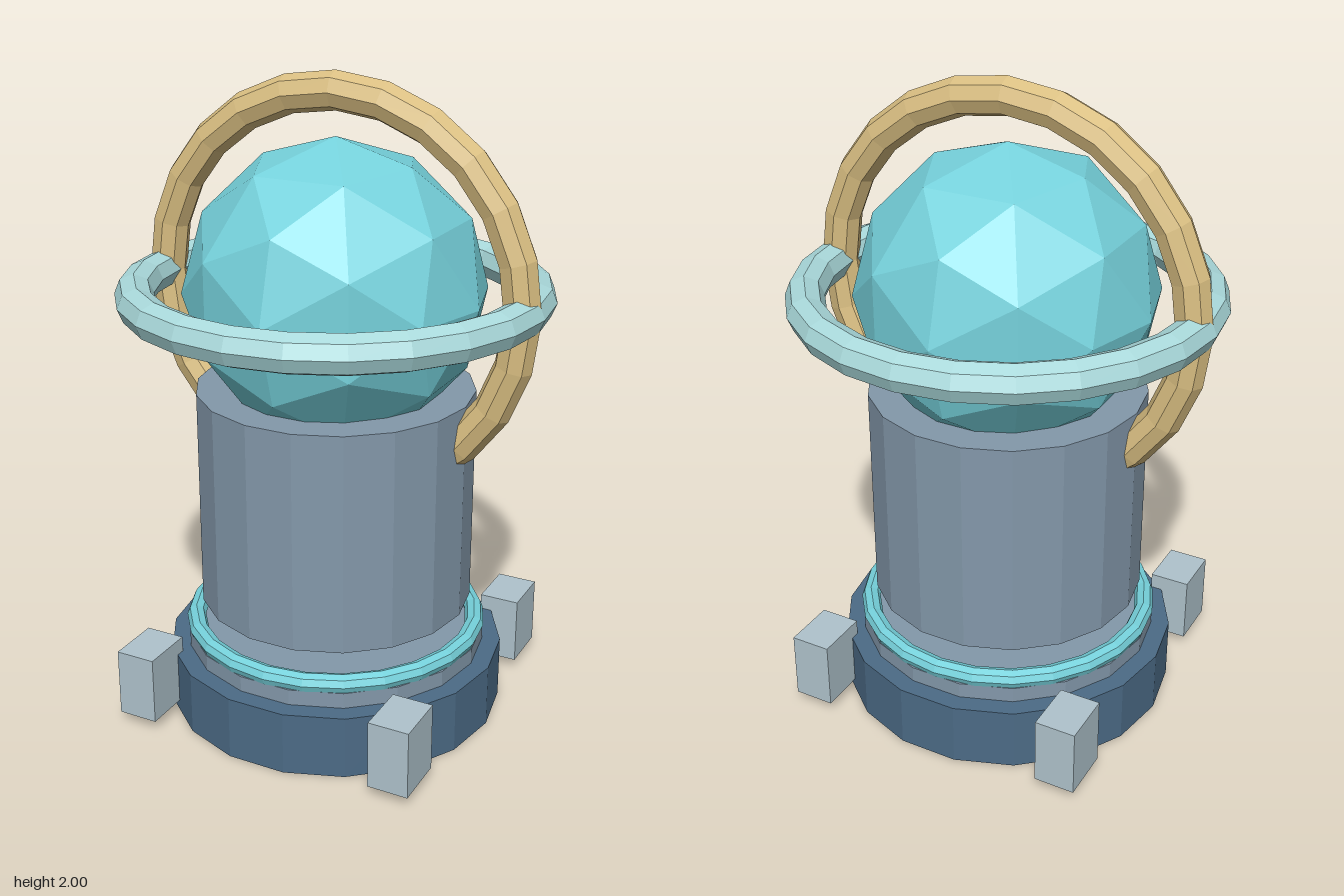
import * as THREE from 'three';

const flat = (name, color) => {
  const m = new THREE.MeshStandardMaterial({ color });
  m.name = name;
  m.flatShading = true;
  return m;
};

export function createModel() {
  const model = new THREE.Group();
  model.name = 'ringedOrbPedestal';

  const navy = flat('slate blue', 0x4c6b86);
  const grey = flat('blue grey', 0x8398aa);
  const cyan = flat('cyan', 0x76d2dc);
  const pale = flat('pale teal', 0xaadadc);
  const gold = flat('gold', 0xdabf82);
  const silver = flat('silver', 0xafc3cc);

  const add = (name, geometry, material, x, y, z) => {
    const mesh = new THREE.Mesh(geometry, material);
    mesh.name = name;
    mesh.position.set(x, y, z);
    model.add(mesh);
    return mesh;
  };

  // Upright 18-sided drum with a corner on the x axis
  const drum = (name, radius, y0, y1, material) => {
    const g = new THREE.CylinderGeometry(radius, radius, y1 - y0, 18);
    g.rotateY(Math.PI / 2);
    return add(name, g, material, 0, (y0 + y1) / 2, 0);
  };

  // Ring with an eight-sided section, upright or lying flat
  const ring = (name, radius, tube, y, material, lying) => {
    const g = new THREE.TorusGeometry(radius, tube, 8, 24);
    if (lying) g.rotateX(Math.PI / 2);
    return add(name, g, material, 0, y, 0);
  };

  // Stepped base with a glowing collar
  drum('base', 0.533, 0, 0.2, navy);
  drum('baseStep', 0.475, 0.2, 0.25, grey);
  ring('collar', 0.45, 0.03, 0.27, cyan, true);

  // Column floating above the collar
  drum('column', 0.43, 0.36, 1.05, grey);

  // Four corner feet
  for (const x of [-1, 1]) {
    for (const z of [-1, 1]) {
      add('foot', new THREE.BoxGeometry(0.128, 0.215, 0.17), silver, x * 0.432, 0.1425, z * 0.432);
    }
  }

  // Faceted orb and its two crossing rings
  add('orb', new THREE.IcosahedronGeometry(0.461, 1), cyan, 0, 1.35, 0);
  ring('horizontalRing', 0.6, 0.059, 1.35, pale, true);
  ring('verticalRing', 0.592, 0.058, 1.35, gold, false);

  return model;
}
